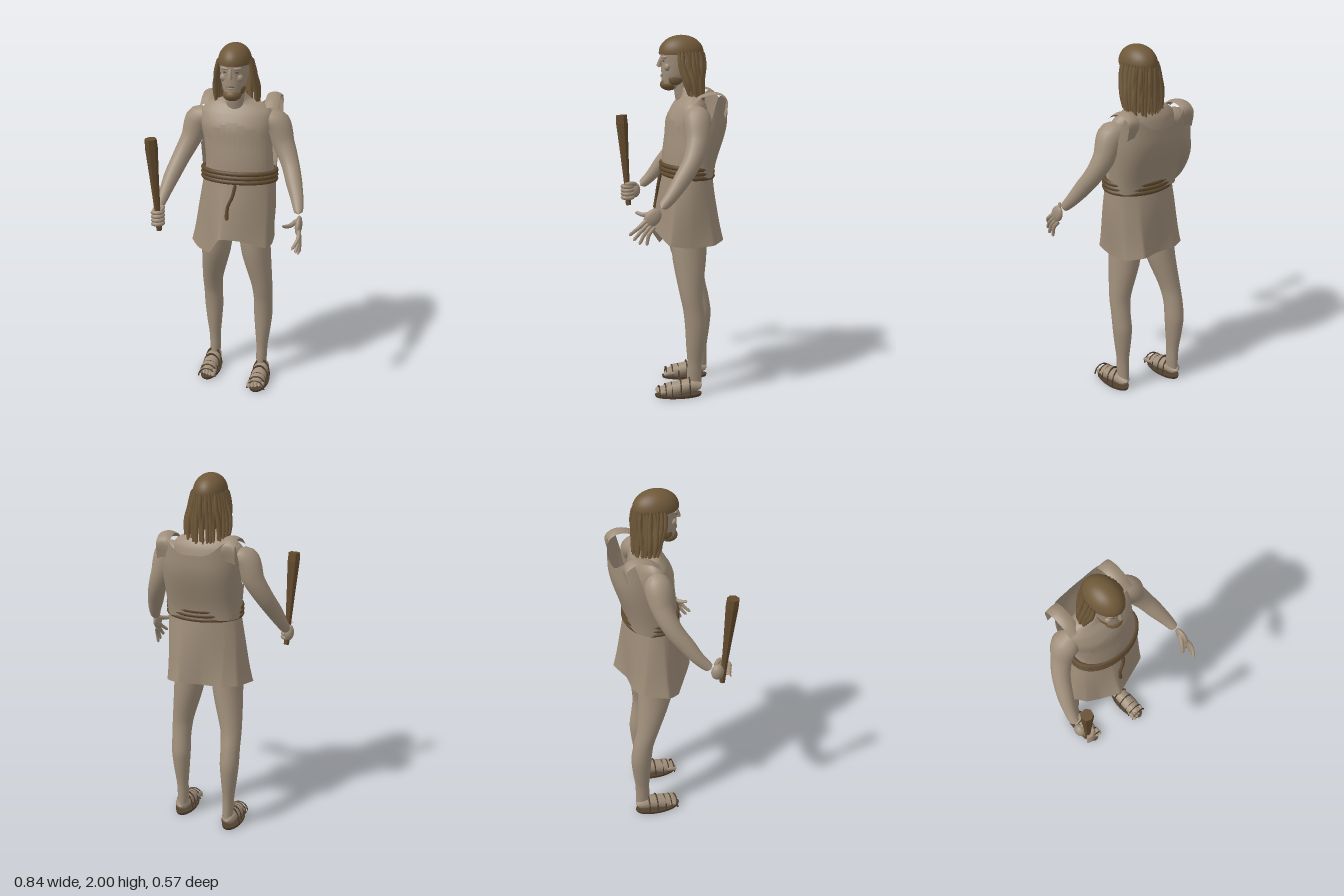
import * as THREE from 'three';
import { mergeVertices } from 'three/addons/utils/BufferGeometryUtils.js';

const V = (x, y, z) => new THREE.Vector3(x, y, z);
const mat = (name, color, side = THREE.FrontSide) => {
  const m = new THREE.MeshStandardMaterial({ color, side });
  m.name = name;
  return m;
};

// Smooth surface from fn(u, v); u runs around, v runs along
function grid(fn, nu, nv) {
  const pos = [], idx = [];
  for (let j = 0; j <= nv; j++) for (let i = 0; i <= nu; i++) pos.push(...fn(i / nu, j / nv));
  for (let j = 0; j < nv; j++) for (let i = 0; i < nu; i++) {
    const a = j * (nu + 1) + i, b = a + 1, c = a + nu + 1, d = c + 1;
    idx.push(a, b, d, a, d, c);
  }
  let g = new THREE.BufferGeometry();
  g.setAttribute('position', new THREE.Float32BufferAttribute(pos, 3));
  g.setIndex(idx);
  g = mergeVertices(g, 1e-5);
  g.computeVertexNormals();
  return g;
}

// Elliptical sections [y, cx, cz, rx, rz], listed from the bottom up
function sections(rows) {
  const c = new THREE.CatmullRomCurve3(rows.map(r => V(r[1], r[0], r[2])), false, 'catmullrom', 0.4);
  const s = new THREE.CatmullRomCurve3(rows.map(r => V(r[3], 0, r[4])), false, 'catmullrom', 0.4);
  return (u, v, off = 0) => {
    const a = u * Math.PI * 2, p = c.getPoint(v), r = s.getPoint(v);
    return [p.x + (Math.max(r.x, 0) + off) * Math.sin(a), p.y, p.z + (Math.max(r.z, 0) + off) * Math.cos(a)];
  };
}
const loft = (rows, nu = 32, nv = 36) => grid(sections(rows), nu, nv);

// Tapered round limb through [x, y, z, radius], with rounded ends
function limb(pts, seg = 24, sides = 14) {
  const curve = new THREE.CatmullRomCurve3(pts.map(p => V(p[0], p[1], p[2])));
  const g = new THREE.TubeGeometry(curve, seg, 1, sides, false);
  const P = g.attributes.position, q = V();
  const len = curve.getLength();
  for (let i = 0; i <= seg; i++) {
    const u = i / seg, t = curve.getUtoTmapping(u) * (pts.length - 1);
    const k = Math.min(Math.floor(t), pts.length - 2);
    let r = THREE.MathUtils.lerp(pts[k][3], pts[k + 1][3], t - k);
    const d = Math.min(u, 1 - u) * len;
    if (d < r) r = Math.sqrt(Math.max(0, r * r - (r - d) * (r - d)));
    const c = curve.getPointAt(u);
    for (let j = 0; j <= sides; j++) {
      const n = i * (sides + 1) + j;
      q.fromBufferAttribute(P, n).sub(c).multiplyScalar(r).add(c);
      P.setXYZ(n, q.x, q.y, q.z);
    }
  }
  return g;
}

export function createModel() {
  const root = new THREE.Group();
  const skin = mat('skin', 0xa08f7b), cloth = mat('cloth', 0x9d8c78, THREE.DoubleSide);
  const hair = mat('hair', 0x6f5839, THREE.DoubleSide), rope = mat('rope', 0x5f4a30);
  const wood = mat('wood', 0x634a2d), leather = mat('leather', 0x4f3f2e);
  const add = (name, geo, m, parent = root) => {
    const o = new THREE.Mesh(geo, m);
    o.name = name;
    parent.add(o);
    return o;
  };
  const ball = (name, m, x, y, z, rx, ry, rz) => {
    const o = add(name, new THREE.SphereGeometry(1, 20, 14), m);
    o.position.set(x, y, z);
    o.scale.set(rx, ry, rz);
    return o;
  };
  const smooth = THREE.MathUtils.smoothstep;

  // Torso
  const body = sections([
    [0.95, 0, -0.075, 0, 0], [1.0, 0, -0.075, 0.14, 0.1], [1.22, 0.02, -0.075, 0.193, 0.133],
    [1.35, 0.02, -0.07, 0.188, 0.128], [1.46, 0.01, -0.075, 0.19, 0.118], [1.55, 0, -0.08, 0.2, 0.113],
    [1.62, 0, -0.09, 0.195, 0.09], [1.665, 0, -0.095, 0.15, 0.062], [1.69, 0, -0.085, 0.085, 0.05],
    [1.73, 0, -0.07, 0.05, 0.048]]);
  add('torso', grid(body, 40, 50), skin);

  // Chest cloth with a stepped, torn top edge
  const tops = [0.4, 0.42, 0.5, 0.47, 0.55, 0.58, 0.6, 0.6, 0.58, 0.55, 0.55, 0.48, 0.52, 0.44];
  tops.forEach((top, i) => add('chestCloth',
    grid((u, v) => body((i - 7 + u) * 0.027, 0.24 + (top - 0.24) * v, 0.003), 2, 8), cloth));

  // Loose back of the tunic, standing away from the shoulders
  add('tunicBack', grid((u, v) => {
    const d = (0.5 - u) * 3.1, e = Math.abs(d);
    const top = 1.61 + 0.075 * smooth(e, 0.1, 0.8) - 0.26 * smooth(e, 0.95, 1.5);
    const y = 1.24 + (top - 1.24) * v, k = smooth(y, 1.22, 1.56);
    return [0.015 + (0.205 + 0.02 * k) * Math.sign(d) * Math.pow(Math.abs(Math.sin(d)), 0.75), y,
      -0.075 - (0.138 + 0.077 * k) * Math.pow(Math.abs(Math.cos(d)), 0.7)];
  }, 40, 16), cloth);
  for (const x of [-0.165, 0.19]) {
    const path = new THREE.CatmullRomCurve3([V(0, 1.58, -0.25), V(0, 1.67, -0.262), V(0, 1.705, -0.21),
      V(0, 1.693, -0.13), V(0, 1.65, -0.07)]);
    add('shoulderStrap', grid((u, v) => {
      const p = path.getPoint(v);
      return [x + (u - 0.5) * 0.075, p.y - 0.012 * Math.pow(2 * u - 1, 2), p.z];
    }, 6, 18), cloth);
  }

  // Skirt with an uneven hem, fanning out from the waist
  const hem = new THREE.CatmullRomCurve3([V(-0.05, 0.94, 0.135), V(0.06, 0.925, 0.1), V(0.2, 0.875, 0.045),
    V(0.21, 0.86, -0.07), V(0.2, 0.87, -0.2), V(0.12, 0.885, -0.265), V(0, 0.87, -0.22), V(-0.12, 0.87, -0.22),
    V(-0.2, 0.87, -0.18), V(-0.25, 0.86, -0.05), V(-0.2, 0.84, 0.02), V(-0.125, 0.825, 0.06)],
  true, 'catmullrom', 0.15);
  add('skirt', grid((u, v) => {
    const p = hem.getPoint(u % 1), a = Math.atan2(p.x - 0.02, p.z + 0.075), t = 1 - v, k = Math.pow(t, 1.5);
    const bulge = 1 + 0.06 * Math.sin(t * Math.PI);
    const x = 0.02 + 0.2 * Math.sin(a) * bulge, z = -0.075 + 0.138 * Math.cos(a) * bulge;
    return [x + (p.x - x) * k, 1.26 + (p.y - 1.26) * t, z + (p.z - z) * k];
  }, 72, 16), cloth);

  // Rope belt and its hanging end
  for (let i = 0; i < 3; i++) {
    const loop = new THREE.CatmullRomCurve3(Array.from({ length: 16 }, (_, n) => {
      const a = n * Math.PI / 8;
      return V(0.02 + 0.205 * Math.sin(a), 1.247 + i * 0.024 + 0.008 * Math.cos(a), -0.075 + 0.14 * Math.cos(a));
    }), true);
    add('ropeBelt', new THREE.TubeGeometry(loop, 64, 0.013, 8, true), rope);
  }
  add('ropeEnd', limb([[0.03, 1.25, 0.073, 0.01], [0.015, 1.18, 0.085, 0.009], [-0.01, 1.12, 0.09, 0.009],
    [-0.015, 1.04, 0.1, 0.012]], 16, 8), rope);

  // Legs, feet and sandals; the right side is set back
  for (const s of [1, -1]) {
    const back = y => s > 0 ? 0 : -0.08 * (1 - smooth(y, 0.45, 0.95));
    add(s > 0 ? 'leftLeg' : 'rightLeg', loft([
      [0.05, 0.15, -0.1, 0.028, 0.042], [0.12, 0.15, -0.1, 0.031, 0.041], [0.2, 0.152, -0.102, 0.033, 0.041],
      [0.3, 0.155, -0.105, 0.044, 0.052], [0.4, 0.157, -0.106, 0.053, 0.059], [0.5, 0.158, -0.094, 0.054, 0.058],
      [0.6, 0.152, -0.08, 0.06, 0.065], [0.8, 0.118, -0.075, 0.083, 0.095], [1.02, 0.1, -0.075, 0.09, 0.1],
    ].map(([y, x, z, a, b]) => [y, s * x, z + back(y), a, b]), 24, 36), skin);
    const foot = new THREE.Group();
    foot.name = s > 0 ? 'leftFoot' : 'rightFoot';
    foot.position.set(s * 0.155, 0, back(0));
    root.add(foot);
    const f = add('foot', limb([[0, 0.052, -0.145, 0.033], [0, 0.062, -0.09, 0.043], [0, 0.05, -0.02, 0.043],
      [0, 0.035, 0.05, 0.046], [0, 0.03, 0.085, 0.04]], 24, 16), skin, foot);
    f.scale.y = 0.85;
    f.position.y = 0.008;
    for (let i = 0; i < 5; i++) {
      const x = s * (-0.038 + i * 0.019), r = i ? 0.0105 : 0.014, tip = 0.118 - i * i * 0.0022;
      add('toe', limb([[x, 0.036, 0.05, r], [x, 0.034, 0.09, r], [x, 0.026, tip, r]], 8, 8), skin, foot);
    }
    const sole = add('sole', new THREE.CylinderGeometry(0.058, 0.056, 0.014, 32), leather, foot);
    sole.scale.z = 2.3;
    sole.position.set(0, 0.007, -0.01);
    for (const [z, h] of [[0.1, 0.05], [0.065, 0.06], [0.03, 0.065], [-0.02, 0.085], [-0.07, 0.1]]) {
      const strap = add('sandalStrap', new THREE.TorusGeometry(0.05, 0.004, 6, 16, Math.PI), leather, foot);
      strap.position.set(0, 0.012, z);
      strap.scale.y = h / 0.05;
    }
  }

  // Arms
  add('leftArm', limb([[0.16, 1.575, -0.1, 0.085], [0.215, 1.56, -0.1, 0.08], [0.262, 1.45, -0.095, 0.06],
    [0.305, 1.35, -0.06, 0.05], [0.34, 1.26, 0.0, 0.045], [0.37, 1.18, 0.06, 0.034],
    [0.388, 1.12, 0.115, 0.024]], 36, 18), skin);
  add('rightArm', limb([[-0.16, 1.575, -0.1, 0.085], [-0.21, 1.56, -0.1, 0.08], [-0.258, 1.45, -0.09, 0.058],
    [-0.305, 1.35, -0.05, 0.05], [-0.345, 1.25, 0.02, 0.044], [-0.37, 1.17, 0.08, 0.033],
    [-0.385, 1.11, 0.14, 0.025]], 36, 18), skin);

  // Open left hand
  const palm = ball('leftPalm', skin, 0.397, 1.075, 0.162, 0.019, 0.055, 0.041);
  palm.rotation.x = -0.7;
  [[0.38, 0.98, 0.285], [0.398, 0.955, 0.265], [0.408, 0.935, 0.235], [0.408, 0.928, 0.195]].forEach((t, i) =>
    add('leftFinger', limb([[0.397, 1.07 - i * 0.013, 0.185 - i * 0.012, 0.012],
      [0.408, 1.03 - i * 0.013, 0.232 - i * 0.017, 0.011], [...t, 0.008]], 12, 8), skin));
  add('leftThumb', limb([[0.39, 1.1, 0.15, 0.014], [0.355, 1.085, 0.205, 0.012], [0.322, 1.095, 0.245, 0.008]], 12, 8), skin);

  // Right fist around the club
  ball('rightPalm', skin, -0.388, 1.085, 0.175, 0.028, 0.045, 0.035);
  for (let i = 0; i < 4; i++) {
    const finger = add('rightFinger', new THREE.TorusGeometry(0.029, 0.012, 8, 16, 4.6), skin);
    finger.position.set(-0.372, 1.045 + i * 0.022, 0.217);
    finger.rotation.set(Math.PI / 2, 0, -2.2);
  }
  add('rightThumb', limb([[-0.375, 1.12, 0.165, 0.014], [-0.345, 1.13, 0.2, 0.012], [-0.345, 1.125, 0.24, 0.009]], 12, 8), skin);
  const profile = [[0, 0], [0.016, 0], [0.017, 0.13], [0.026, 0.32], [0.035, 0.48], [0.033, 0.53], [0, 0.53]];
  const clubGeo = new THREE.LatheGeometry(profile.map(p => new THREE.Vector2(...p)), 7).toNonIndexed();
  clubGeo.computeVertexNormals();
  const club = add('club', clubGeo, wood);
  club.position.set(-0.366, 1.0, 0.212);
  club.rotation.set(0.066, 0, 0.047);

  // Head and face
  add('neck', limb([[0, 1.62, -0.08, 0.06], [0, 1.7, -0.06, 0.052], [0, 1.8, -0.045, 0.052]], 16, 18), skin);
  add('head', loft([[1.705, 0, 0.02, 0, 0], [1.712, 0, 0.018, 0.032, 0.035], [1.75, 0, -0.01, 0.053, 0.07],
    [1.79, 0, -0.025, 0.066, 0.088], [1.85, 0, -0.04, 0.076, 0.105], [1.92, 0, -0.045, 0.08, 0.112],
    [1.96, 0, -0.045, 0.06, 0.085], [1.975, 0, -0.045, 0, 0]]), skin);
  add('nose', limb([[0, 1.885, 0.06, 0.009], [0, 1.85, 0.073, 0.012], [0, 1.826, 0.077, 0.016]], 10, 10), skin);
  ball('mouth', hair, 0, 1.785, 0.06, 0.024, 0.004, 0.008);
  ball('lips', skin, 0, 1.778, 0.058, 0.02, 0.006, 0.01);
  for (const s of [1, -1]) {
    ball('brow', skin, s * 0.032, 1.882, 0.051, 0.026, 0.009, 0.012).rotation.y = s * 0.4;
    ball('eye', leather, s * 0.031, 1.863, 0.054, 0.012, 0.004, 0.007);
    ball('cheek', skin, s * 0.04, 1.83, 0.035, 0.024, 0.022, 0.018);
  }
  ball('beard', hair, 0, 1.735, 0.022, 0.05, 0.034, 0.049);
  for (const s of [1, -1]) ball('sideBeard', hair, s * 0.045, 1.765, -0.01, 0.018, 0.032, 0.04);

  // Hair: cap, back sheet and hanging locks
  const cap = add('hairCap', new THREE.SphereGeometry(1, 36, 16, 0, Math.PI * 2, 0, Math.PI * 0.53), hair);
  cap.position.set(0, 1.905, -0.046);
  cap.scale.set(0.089, 0.095, 0.123);
  add('hairBack', grid((u, v) => {
    const a = Math.PI * (0.55 + 0.9 * u), r = 1 - 0.12 * (1 - v);
    return [0.09 * r * Math.sin(a), 1.72 + 0.19 * v, -0.048 + 0.118 * r * Math.cos(a)];
  }, 24, 8), hair);
  for (let i = 0; i < 23; i++) {
    const a = Math.PI * (0.42 + 1.16 * i / 22), sx = Math.sin(a), cz = Math.cos(a), w = 0.008 * Math.sin(i * 2.4);
    const end = 1.66 + 0.05 * cz + 0.03 * Math.sin(i * 1.9);
    add('hairLock', limb([[0.086 * sx, 1.92, -0.05 + 0.112 * cz, 0.011],
      [0.103 * sx, 1.84, -0.056 + 0.108 * cz + w, 0.014], [0.116 * sx + w, 1.75, -0.075 + 0.088 * cz, 0.014],
      [0.118 * sx, end, -0.092 + 0.07 * cz - w, 0.007]], 14, 7), hair);
  }
  return root;
}
